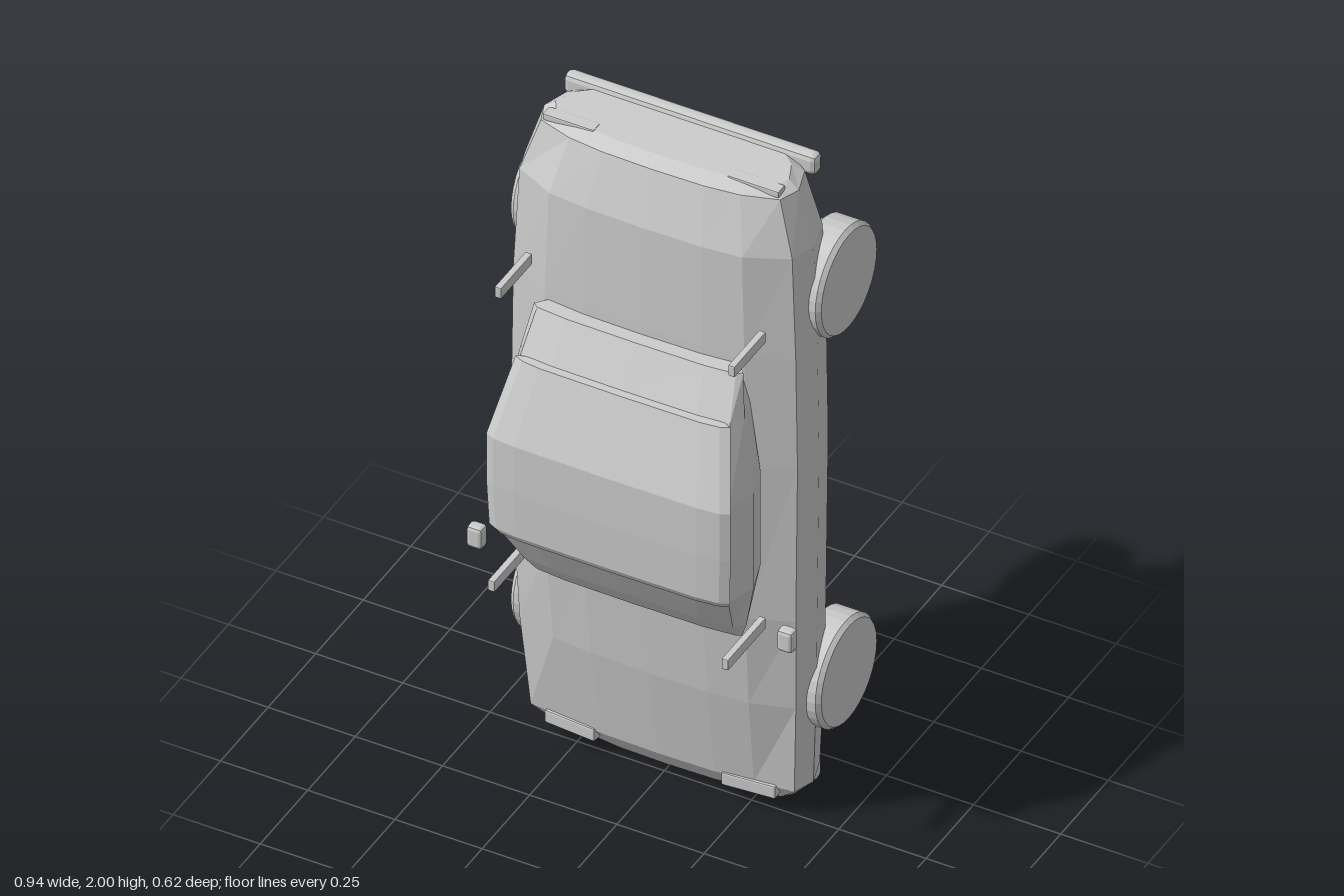
import * as THREE from 'three';
import { RoundedBoxGeometry } from 'three/addons/geometries/RoundedBoxGeometry.js';

const paint = new THREE.MeshStandardMaterial({ color: 0xcccccc, flatShading: true });
paint.name = 'light grey';

// Joins cross-sections stacked along y; each is a half outline [x, z] from top centre to bottom centre.
function loft(sections) {
  const rings = sections.map(({ y, half }) => {
    const mirrored = half.slice(1, -1).reverse().map(([x, z]) => [-x, z]);
    return [...half, ...mirrored].map(([x, z]) => [x, y, z]);
  });
  const n = rings[0].length, pos = [];
  const tri = (a, b, c) => pos.push(...a, ...b, ...c);
  for (let i = 0; i < rings.length - 1; i++) {
    for (let j = 0; j < n; j++) {
      const k = (j + 1) % n;
      tri(rings[i][j], rings[i][k], rings[i + 1][k]);
      tri(rings[i][j], rings[i + 1][k], rings[i + 1][j]);
    }
  }
  const first = rings[0], last = rings[rings.length - 1];
  for (let j = 1; j < n - 1; j++) {
    tri(first[0], first[j + 1], first[j]);
    tri(last[0], last[j], last[j + 1]);
  }
  const geo = new THREE.BufferGeometry();
  geo.setAttribute('position', new THREE.Float32BufferAttribute(pos, 3));
  geo.computeVertexNormals();
  return geo;
}

export function createModel() {
  const car = new THREE.Group();
  car.name = 'car';

  function add(name, geo, x = 0, y = 0, z = 0) {
    const mesh = new THREE.Mesh(geo, paint);
    mesh.name = name;
    mesh.position.set(x, y, z);
    car.add(mesh);
    return mesh;
  }
  const block = (name, size, at, r = 0.006) => add(name, new RoundedBoxGeometry(...size, 1, r), ...at);

  // Body shell, nose at the bottom: y, half width, roof-side z, shoulder z, sill z, underside z
  const body = [
    [0.015, 0.34, -0.01, -0.03, -0.10, -0.12],
    [0.08, 0.40, 0.035, 0.01, -0.13, -0.168],
    [0.37, 0.418, 0.085, 0.035, -0.12, -0.175],
    [0.66, 0.426, 0.113, 0.05, -0.115, -0.178],
    [1.15, 0.432, 0.12, 0.052, -0.115, -0.178],
    [1.5, 0.427, 0.119, 0.052, -0.115, -0.178],
    [1.81, 0.413, 0.113, 0.045, -0.12, -0.175],
    [1.965, 0.365, 0.065, 0.02, -0.115, -0.145],
    [1.985, 0.335, 0.027, -0.005, -0.10, -0.13],
  ];
  add('body', loft(body.map(([y, w, top, shoulder, sill, under]) => ({
    y,
    half: [
      [0, top], [w * 0.4, top - 0.003], [w * 0.67, top - 0.014],
      [w - 0.022, shoulder], [w, (shoulder + sill) / 2 + 0.01],
      [w - 0.025, sill], [w * 0.82, under], [0, under],
    ],
  }))));

  // Cabin: y, half width at the base, at the waist and at the top, waist z, top z
  const cabin = [
    [0.64, 0.27, 0.30, 0.285, 0.14, 0.158],
    [0.70, 0.30, 0.325, 0.30, 0.165, 0.2],
    [0.85, 0.33, 0.36, 0.335, 0.19, 0.287],
    [1.15, 0.33, 0.36, 0.335, 0.19, 0.287],
    [1.36, 0.30, 0.32, 0.30, 0.165, 0.215],
    [1.475, 0.27, 0.30, 0.285, 0.135, 0.157],
  ];
  add('cabin', loft(cabin.map(([y, base, waist, w, mid, top]) => ({
    y,
    half: [[0, top], [w * 0.7, top - 0.002], [w, top - 0.01], [waist, mid], [base, 0.1], [0, 0.1]],
  }))));

  // Roof shell: y, half width, outer z, inner z
  const roof = [
    [0.84, 0.335, 0.298, 0.27],
    [0.86, 0.345, 0.309, 0.275],
    [1.0, 0.35, 0.314, 0.28],
    [1.15, 0.35, 0.314, 0.28],
    [1.36, 0.308, 0.238, 0.208],
  ];
  add('roof', loft(roof.map(([y, w, top, inner]) => ({
    y,
    half: [[0, top], [w * 0.75, top - 0.002], [w - 0.025, top - 0.008], [w, top - 0.02], [w - 0.02, inner], [0, inner]],
  }))));

  // Underside
  block('floorPlate', [0.7, 1.26, 0.03], [0, 1.0, -0.187], 0.003);

  // Bumpers and nose panel
  block('rearBumper', [0.725, 0.06, 0.042], [0, 1.97, -0.15], 0.015);
  block('frontBumper', [0.725, 0.075, 0.042], [0, 0.043, -0.148], 0.015);
  block('grille', [0.39, 0.02, 0.06], [0, 0.01, -0.08], 0.003);

  // Wheels with a small bevel on each rim
  const tyre = [[0, -0.048], [0.146, -0.048], [0.156, -0.036], [0.156, 0.036], [0.146, 0.048], [0, 0.048]]
    .map(([r, h]) => new THREE.Vector2(r, h));
  const wheelGeo = new THREE.LatheGeometry(tyre, 32).rotateZ(Math.PI / 2);

  for (const [side, s] of [['left', 1], ['right', -1]]) {
    add(side + 'FrontWheel', wheelGeo, s * 0.397, 0.375, -0.155);
    add(side + 'RearWheel', wheelGeo, s * 0.397, 1.625, -0.155);

    // Upright posts
    block(side + 'FrontPost', [0.02, 0.034, 0.2], [s * 0.335, 0.667, 0.197], 0.004);
    block(side + 'RearPost', [0.02, 0.034, 0.165], [s * 0.335, 1.58, 0.18], 0.004);

    block(side + 'Mirror', [0.045, 0.065, 0.036], [s * 0.445, 0.703, 0.17], 0.01);

    // Lamps
    block(side + 'Headlamp', [0.15, 0.04, 0.036], [s * 0.255, 0.067, 0.012], 0.005).rotation.y = s * 0.08;
    block(side + 'TailLamp', [0.148, 0.02, 0.036], [s * 0.265, 1.977, 0.003], 0.004);
  }

  return car;
}
